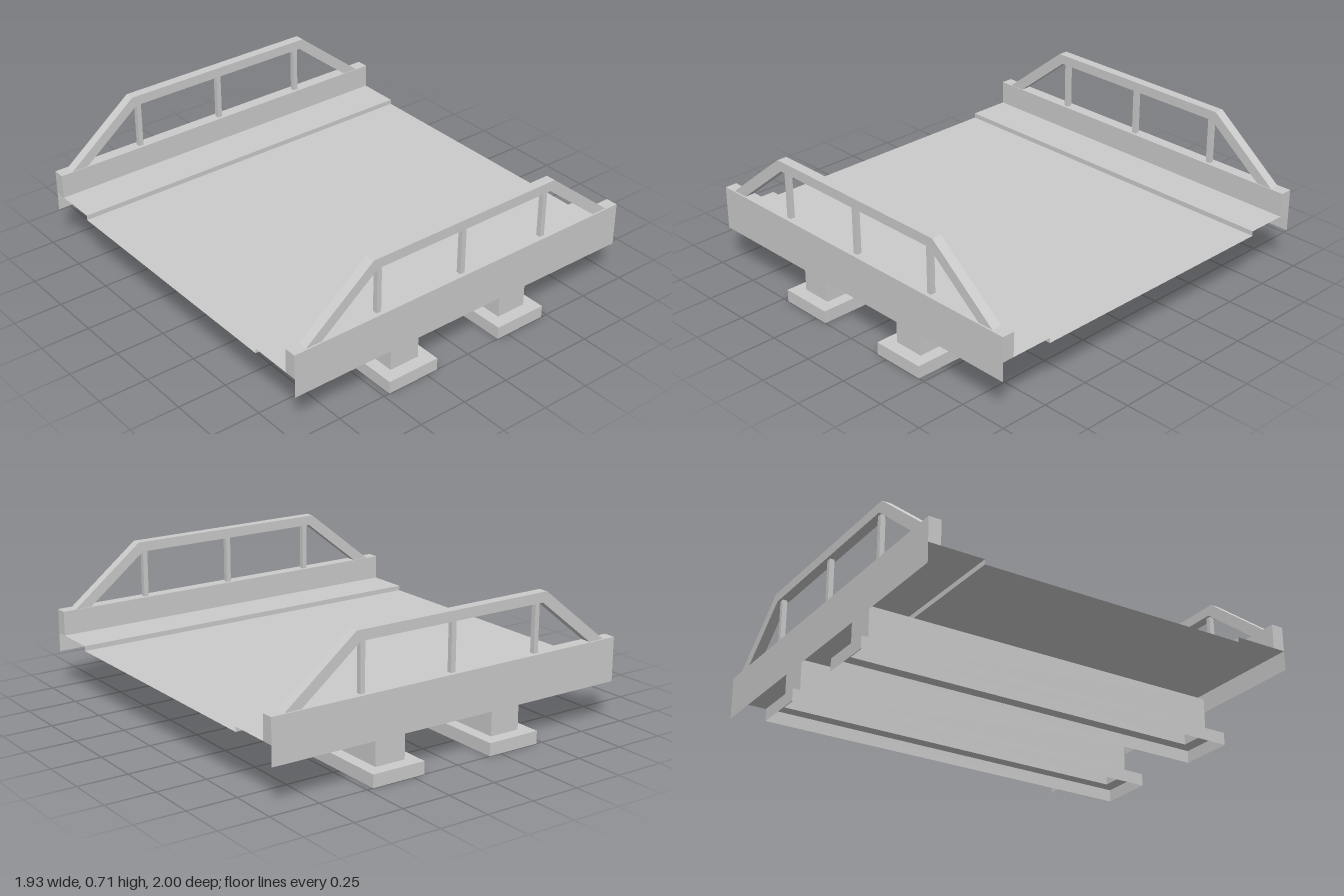
import * as THREE from 'three';

const solid = new THREE.MeshStandardMaterial({ color: 0xcccccc, flatShading: true });
const sheet = new THREE.MeshStandardMaterial({ color: 0xcccccc, flatShading: true, side: THREE.DoubleSide });

function add(parent, name, geometry, material = solid) {
  const mesh = new THREE.Mesh(geometry, material);
  mesh.name = name;
  parent.add(mesh);
  return mesh;
}

// Box given by its min and max on each axis
function box(x0, x1, y0, y1, z0, z1) {
  return new THREE.BoxGeometry(x1 - x0, y1 - y0, z1 - z0)
    .translate((x0 + x1) / 2, (y0 + y1) / 2, (z0 + z1) / 2);
}

// Surface from a list of four-cornered strips
function quads(list) {
  const pos = [];
  for (const [a, b, c, d] of list) pos.push(...a, ...b, ...c, ...a, ...c, ...d);
  const g = new THREE.BufferGeometry();
  g.setAttribute('position', new THREE.Float32BufferAttribute(pos, 3));
  g.computeVertexNormals();
  return g;
}

// Open shell through stacked rectangles [half width, height, half depth]
function ringShell(rings) {
  const corner = ([w, y, d], i) => [[w, y, d], [w, y, -d], [-w, y, -d], [-w, y, d]][i % 4];
  const faces = [];
  for (let r = 0; r < rings.length - 1; r++)
    for (let i = 0; i < 4; i++)
      faces.push([corner(rings[r], i), corner(rings[r], i + 1),
        corner(rings[r + 1], i + 1), corner(rings[r + 1], i)]);
  return quads(faces);
}

export function createModel() {
  const model = new THREE.Group();
  model.name = 'bridge';
  const L = 0.965;

  // Thin deck: raised walkways either side of a lower roadway
  const profile = [[0.905, 0.295], [0.69, 0.295], [0.69, 0.27],
    [-0.69, 0.27], [-0.69, 0.295], [-0.905, 0.295]];
  const strips = [];
  for (let i = 0; i < profile.length - 1; i++) {
    const [z0, y0] = profile[i], [z1, y1] = profile[i + 1];
    strips.push([[-L, y0, z0], [L, y0, z0], [L, y1, z1], [-L, y1, z1]]);
  }
  add(model, 'deck', quads(strips), sheet);

  // Hollow piers with a wider foot, open underneath
  for (const s of [-1, 1]) {
    const pier = add(model, 'pier', ringShell([
      [0.14, 0, 1], [0.14, 0.063, 1], [0.08, 0.063, 0.935], [0.08, 0.248, 0.935],
    ]), sheet);
    pier.position.x = s * 0.328;
  }

  // Railing outline in the x-y plane
  const outline = [[-0.9, 0.418], [-0.535, 0.708], [0.53, 0.708], [0.895, 0.418],
    [0.81, 0.418], [0.508, 0.658], [-0.513, 0.658], [-0.815, 0.418]];
  const railShape = new THREE.Shape(outline.map(([x, y]) => new THREE.Vector2(x, y)));

  for (const s of [-1, 1]) {
    const side = new THREE.Group();
    side.name = s > 0 ? 'frontParapet' : 'backParapet';

    // Kerb block with a fascia sheet hanging below it
    add(side, 'parapetBlock', box(-L, L, 0.295, 0.418, s * 0.936 - 0.031, s * 0.936 + 0.031));
    const z = s * 0.967;
    add(side, 'fascia', quads([[[-L, 0.198, z], [L, 0.198, z], [L, 0.295, z], [-L, 0.295, z]]]), sheet);

    // Handrail and posts
    add(side, 'handrail', new THREE.ExtrudeGeometry(railShape, { depth: 0.05, bevelEnabled: false })
      .translate(0, 0, s * 0.934 - 0.025));
    for (const x of [-0.492, -0.007, 0.488])
      add(side, 'railPost', box(x - 0.0125, x + 0.0125, 0.418, 0.66, s * 0.934 - 0.0125, s * 0.934 + 0.0125));
    model.add(side);
  }
  return model;
}
